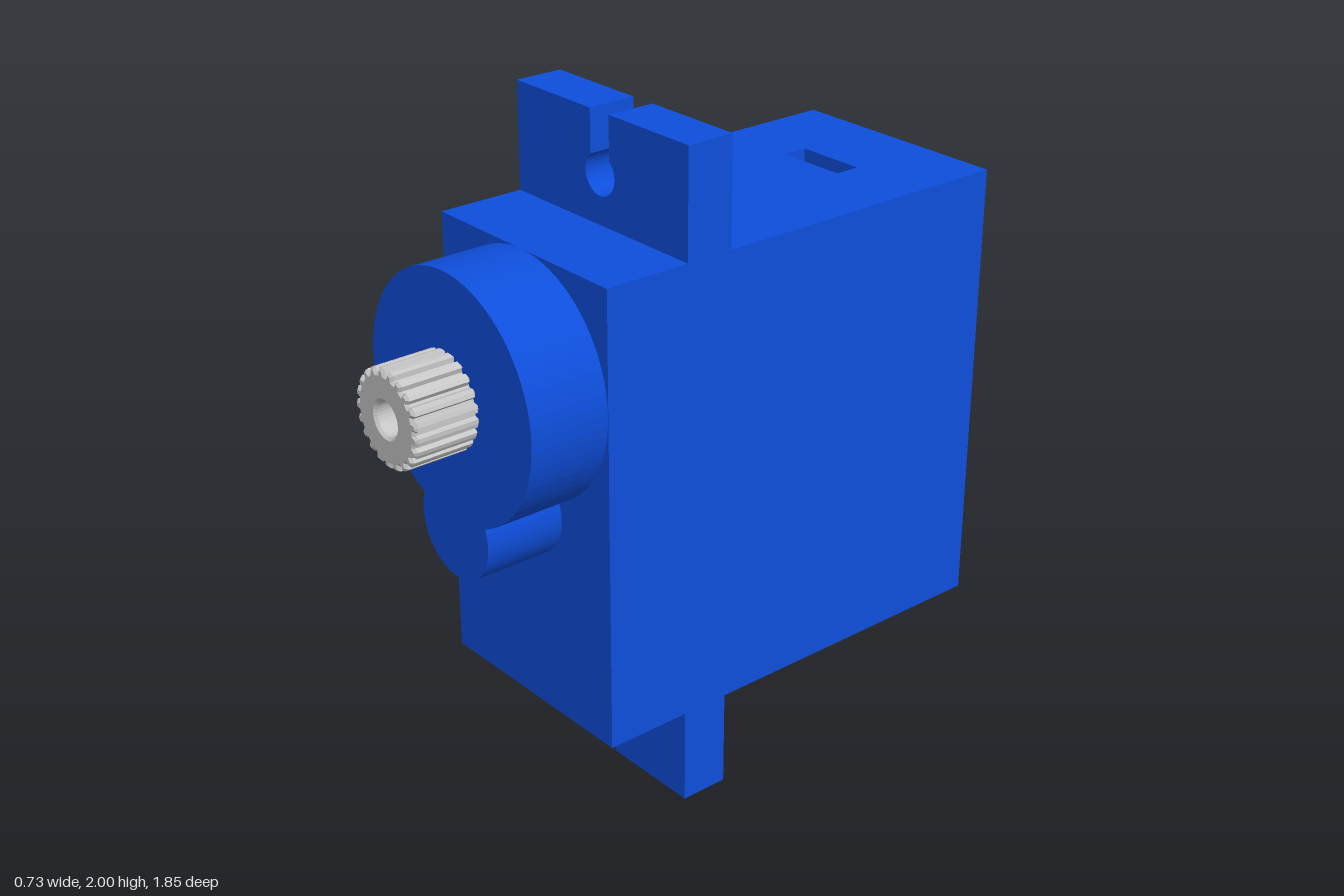
import * as THREE from 'three';

const W = 0.363;                       // half width of the case
const BOTTOM = 0.295, TOP = 1.68;      // case height range
const BACK = -0.925, FRONT = 0.478;    // case depth range

function polygon(points) {
  return new THREE.Shape(points.map(([x, y]) => new THREE.Vector2(x, y)));
}

function extrude(shape, depth, options = {}) {
  return new THREE.ExtrudeGeometry(shape, { depth, bevelEnabled: false, curveSegments: 32, ...options });
}

export function createModel() {
  const blue = new THREE.MeshStandardMaterial({ color: 0x0e4edb });
  blue.name = 'blue plastic';
  const grey = new THREE.MeshStandardMaterial({ color: 0xc6c6c6 });
  grey.name = 'grey metal';

  const model = new THREE.Group();
  model.name = 'servoMotor';
  const add = (name, geometry, material) => {
    const mesh = new THREE.Mesh(geometry, material);
    mesh.name = name;
    model.add(mesh);
    return mesh;
  };

  // Case: a box with a thin top layer that holds the cable slot
  const slotDepth = 0.04;
  const boxHeight = TOP - slotDepth - BOTTOM;
  const box = new THREE.BoxGeometry(2 * W, boxHeight, FRONT - BACK);
  box.translate(0, BOTTOM + boxHeight / 2, (FRONT + BACK) / 2);
  add('case', box, blue);

  // Drawn in x and -z, then laid flat
  const lid = polygon([[-W, -FRONT], [W, -FRONT], [W, -BACK], [-W, -BACK]]);
  lid.holes.push(polygon([[-0.11, 0.57], [-0.11, 0.65], [0.11, 0.65], [0.11, 0.57]]));
  const lidGeometry = extrude(lid, slotDepth);
  lidGeometry.rotateX(-Math.PI / 2);
  lidGeometry.translate(0, TOP - slotDepth, 0);
  add('caseTop', lidGeometry, blue);

  // Mounting tabs with keyhole notches open to the outer end
  const slit = 0.04, holeRadius = 0.062, holeY = 1.825;
  const a = Math.acos(slit / holeRadius);
  const tab = polygon([[-W, 2], [-W, TOP], [W, TOP], [W, 2], [slit, 2]]);
  tab.lineTo(slit, holeY + holeRadius * Math.sin(a));
  tab.absarc(0, holeY, holeRadius, a, Math.PI - a, true);
  tab.lineTo(-slit, 2);
  const tabGeometry = extrude(tab, 0.15);
  tabGeometry.translate(0, 0, 0.06);
  add('upperTab', tabGeometry, blue);
  const lowerGeometry = tabGeometry.clone();
  lowerGeometry.rotateZ(Math.PI);
  lowerGeometry.translate(0, 2, 0);
  // Stretch is needed only at the inner edge, where the case starts lower
  const p = lowerGeometry.attributes.position;
  for (let i = 0; i < p.count; i++) if (p.getY(i) > 0.3) p.setY(i, BOTTOM);
  add('lowerTab', lowerGeometry, blue);

  // Gear housing: a large disc merged with a small lobe below it
  const R = 0.362, cy = 1.318, r = 0.152, ly = 0.93;
  const gap = cy - ly;
  const meetY = (gap * gap + r * r - R * R) / (2 * gap);   // above the lobe centre
  const meetX = Math.sqrt(r * r - meetY * meetY);
  const bigAngle = Math.atan2(meetY - gap, meetX);
  const lobeAngle = Math.atan2(meetY, meetX);
  const housing = new THREE.Shape();
  housing.absarc(0, cy, R, bigAngle, Math.PI - bigAngle, false);
  housing.absarc(0, ly, r, Math.PI - lobeAngle, 2 * Math.PI + lobeAngle, false);
  const housingGeometry = extrude(housing, 0.247);
  housingGeometry.translate(0, 0, FRONT);
  add('gearHousing', housingGeometry, blue);

  // Splined output shaft with a screw hole
  const teeth = 21, outer = 0.142, inner = 0.128, bevel = 0.008;
  const outline = [];
  for (let i = 0; i < teeth; i++) {
    for (const [t, radius] of [[0, inner], [0.2, inner], [0.32, outer], [0.6, outer + 0.001], [0.88, outer]]) {
      const angle = (i + t) / teeth * Math.PI * 2;
      outline.push([radius * Math.cos(angle), radius * Math.sin(angle)]);
    }
  }
  const spline = polygon(outline);
  const bore = new THREE.Path();
  bore.absarc(0, 0, 0.05, 0, Math.PI * 2, true);
  spline.holes.push(bore);
  const shaftGeometry = extrude(spline, 0.2 - 2 * bevel, {
    bevelEnabled: true, bevelSize: bevel, bevelThickness: bevel, bevelOffset: -bevel, bevelSegments: 1, curveSegments: 16,
  });
  shaftGeometry.translate(0, cy, 0.725 + bevel);
  add('outputShaft', shaftGeometry, grey);

  return model;
}
